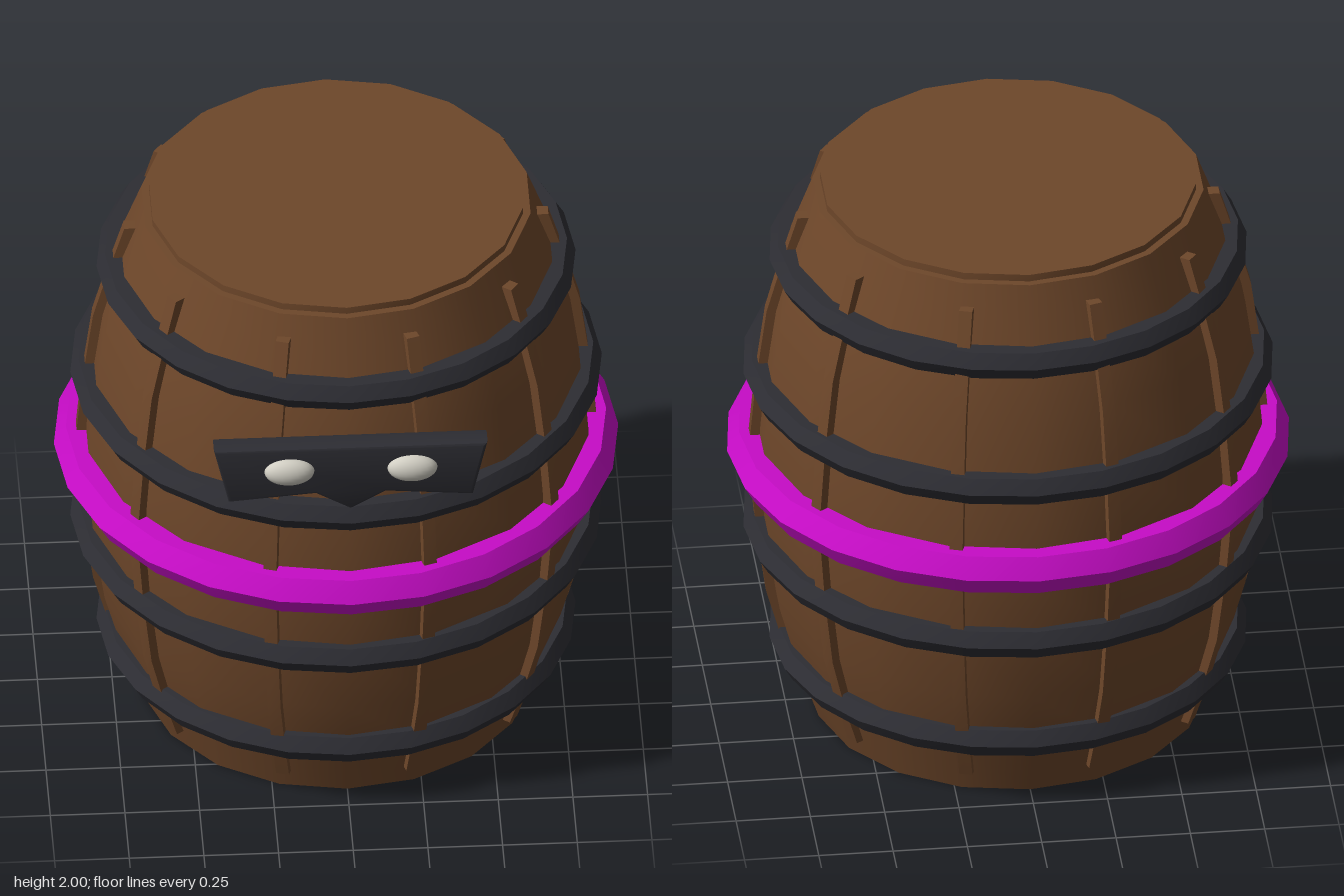
import * as THREE from 'three';
import { toCreasedNormals } from 'three/addons/utils/BufferGeometryUtils.js';

const material = (name, color) => {
  const m = new THREE.MeshStandardMaterial({ color });
  m.name = name;
  return m;
};

export function createModel() {
  const wood = material('brown wood', 0x6e472a);
  const iron = material('dark iron', 0x2d2d33);
  const magenta = material('magenta', 0xc60cc6);
  const white = material('eye white', 0xd2cfc4);

  const model = new THREE.Group();
  model.name = 'barrel';
  const add = (name, geometry, mat, parent = model) => {
    const mesh = new THREE.Mesh(geometry, mat);
    mesh.name = name;
    parent.add(mesh);
    return mesh;
  };
  const creased = (geometry) => toCreasedNormals(geometry, 0.6);

  // Barrel body: closed bulging profile of [radius, height]
  const profile = [
    [0, 0], [0.66, 0], [0.735, 0.22], [0.795, 0.44], [0.832, 0.7], [0.85, 0.9],
    [0.85, 1.08], [0.832, 1.28], [0.795, 1.54], [0.735, 1.76], [0.655, 1.975], [0, 1.975],
  ].map(([r, y]) => new THREE.Vector2(r, y));
  add('body', creased(new THREE.LatheGeometry(profile, 18)), wood);
  add('lid', creased(new THREE.CylinderGeometry(0.63, 0.63, 0.05, 18)), wood).position.y = 1.975;

  // Ten curved ribs following the bulge
  const outer = [
    [0.705, 0.08], [0.762, 0.25], [0.815, 0.44], [0.85, 0.7], [0.87, 0.92],
    [0.87, 1.06], [0.85, 1.28], [0.815, 1.54], [0.762, 1.73], [0.71, 1.9],
  ];
  const inner = outer.map(([r, y]) => [r - 0.05, y]).reverse();
  const ribShape = new THREE.Shape([...outer, ...inner].map(([r, y]) => new THREE.Vector2(r, y)));
  const ribGeometry = creased(new THREE.ExtrudeGeometry(ribShape, { depth: 0.045, bevelEnabled: false })
    .translate(0, 0, -0.0225));
  const ribs = new THREE.Group();
  ribs.name = 'ribs';
  model.add(ribs);
  for (let i = 0; i < 10; i++) {
    add('rib', ribGeometry, wood, ribs).rotation.y = (i * Math.PI) / 5;
  }

  // Hoops with a six-sided section
  const hoop = (name, radius, tube, y, mat) => {
    const geometry = new THREE.TorusGeometry(radius, tube, 6, 24).rotateX(Math.PI / 2);
    add(name, creased(geometry), mat).position.y = y;
  };
  hoop('lowerHoop', 0.745, 0.057, 0.25, iron);
  hoop('lowerMiddleHoop', 0.833, 0.057, 0.69, iron);
  hoop('centreHoop', 0.864, 0.081, 0.99, magenta);
  hoop('upperMiddleHoop', 0.833, 0.057, 1.29, iron);
  hoop('upperHoop', 0.745, 0.057, 1.73, iron);

  // Mask plate with a small bevel
  const maskShape = new THREE.Shape([
    [-0.445, 1.58], [-0.4, 1.388], [-0.115, 1.412], [0, 1.345],
    [0.115, 1.412], [0.4, 1.388], [0.445, 1.58],
  ].map(([x, y]) => new THREE.Vector2(x, y)));
  const maskGeometry = new THREE.ExtrudeGeometry(maskShape, {
    depth: 0.056, bevelThickness: 0.012, bevelSize: 0.012, bevelSegments: 2,
  });
  add('mask', creased(maskGeometry), iron).position.z = 0.797;

  // Eyes
  for (const side of [-1, 1]) {
    const eye = add(side > 0 ? 'leftEye' : 'rightEye', new THREE.SphereGeometry(1, 20, 14), white);
    eye.scale.set(0.084, 0.051, 0.04);
    eye.position.set(side * 0.206, 1.5, 0.865);
  }

  return model;
}
